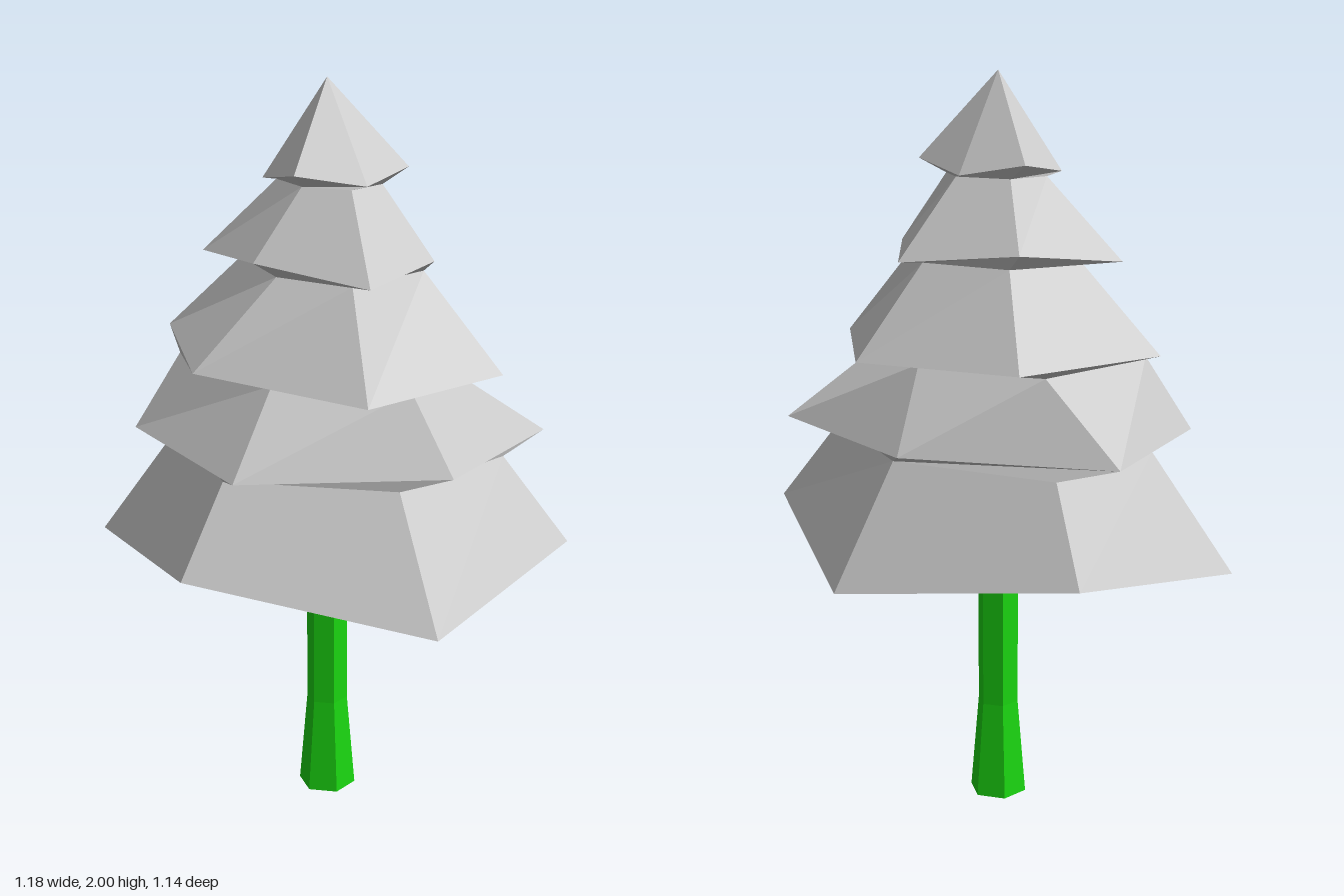
import * as THREE from 'three';

const leafMaterial = new THREE.MeshStandardMaterial({ color: 0xcccccc, flatShading: true });
const barkMaterial = new THREE.MeshStandardMaterial({ color: 0x1bd611, flatShading: true });

// Ring of [x, z] corners at one height
const flatRing = (y, corners) => corners.map(([x, z]) => [x, y, z]);

// Faceted skin through rings from bottom to top; a one-point ring closes an end
function skin(rings) {
  const positions = [];
  for (let k = 0; k < rings.length - 1; k++) {
    const a = rings[k], b = rings[k + 1];
    const n = Math.max(a.length, b.length);
    for (let i = 0; i < n; i++) {
      const a0 = a[i % a.length], a1 = a[(i + 1) % a.length];
      const b0 = b[i % b.length], b1 = b[(i + 1) % b.length];
      if (a.length > 1) positions.push(...a0, ...a1, ...b1);
      if (b.length > 1) positions.push(...a0, ...b1, ...b0);
    }
  }
  const geometry = new THREE.BufferGeometry();
  geometry.setAttribute('position', new THREE.Float32BufferAttribute(positions, 3));
  geometry.computeVertexNormals();
  return geometry;
}

// Each tier: uneven drooping rim, then the narrower neck that the next tier grows from
const tiers = [
  {
    rim: [[0, 0.805, 0.57], [0.59, 0.72, 0.285], [0.59, 0.805, -0.29],
      [0, 0.72, -0.57], [-0.59, 0.805, -0.29], [-0.59, 0.72, 0.285]],
    neck: flatRing(1.03, [[0, 0.41], [0.39, 0.185], [0.43, -0.21],
      [0, -0.37], [-0.43, -0.21], [-0.39, 0.185]]),
  },
  {
    rim: flatRing(1.07, [[0.113, 0.495], [0.504, 0.116], [0.453, -0.366],
      [-0.1, -0.44], [-0.567, -0.13], [-0.403, 0.325]]),
    neck: flatRing(1.27, [[0.07, 0.3], [0.37, 0.116], [0.34, -0.1],
      [0, -0.28], [-0.35, -0.17], [-0.33, 0.22]]),
  },
  {
    rim: [[-0.085, 1.3, 0.422], [0.381, 1.27, 0.302], [0.479, 1.28, -0.123],
      [0.09, 1.28, -0.413], [-0.394, 1.3, -0.302], [-0.472, 1.305, 0.116]],
    neck: flatRing(1.52, [[0, 0.2], [0.22, 0.165], [0.24, -0.1],
      [0.05, -0.22], [-0.2, -0.15], [-0.24, 0.07]]),
  },
  {
    rim: [[-0.028, 1.56, 0.255], [0.3, 1.53, 0.195], [0.277, 1.55, -0.095],
      [0.04, 1.53, -0.31], [-0.25, 1.56, -0.164], [-0.34, 1.53, 0.113]],
    neck: flatRing(1.735, [[0, 0.1], [0.13, 0.06], [0.13, -0.065],
      [0.02, -0.13], [-0.13, -0.08], [-0.13, 0.05]]),
  },
  {
    rim: [[0.04, 1.775, 0.176], [0.164, 1.745, 0.04], [0.164, 1.775, -0.13],
      [-0.047, 1.745, -0.18], [-0.208, 1.775, -0.104], [-0.13, 1.745, 0.104]],
    neck: [[0, 2, 0]],
  },
];

export function createModel() {
  const tree = new THREE.Group();
  tree.name = 'coniferTree';

  // Foliage: underside from the previous neck out to the rim, then the sloping wall
  const foliage = new THREE.Group();
  foliage.name = 'foliage';
  let below = [[0, 0.74, 0]];
  tiers.forEach(({ rim, neck }, i) => {
    const tier = new THREE.Mesh(skin([below, rim, neck]), leafMaterial);
    tier.name = `branchTier${i + 1}`;
    foliage.add(tier);
    below = neck;
  });
  tree.add(foliage);

  // Hexagonal trunk, flared at the foot
  const hexagon = (y, r) => flatRing(y, Array.from({ length: 6 }, (_, i) =>
    [r * Math.sin(i * Math.PI / 3), r * Math.cos(i * Math.PI / 3)]));
  const trunk = new THREE.Mesh(
    skin([[[0, 0, 0]], hexagon(0, 0.08), hexagon(0.27, 0.057), hexagon(0.77, 0.057), [[0, 0.77, 0]]]),
    barkMaterial);
  trunk.name = 'trunk';
  tree.add(trunk);

  return tree;
}
